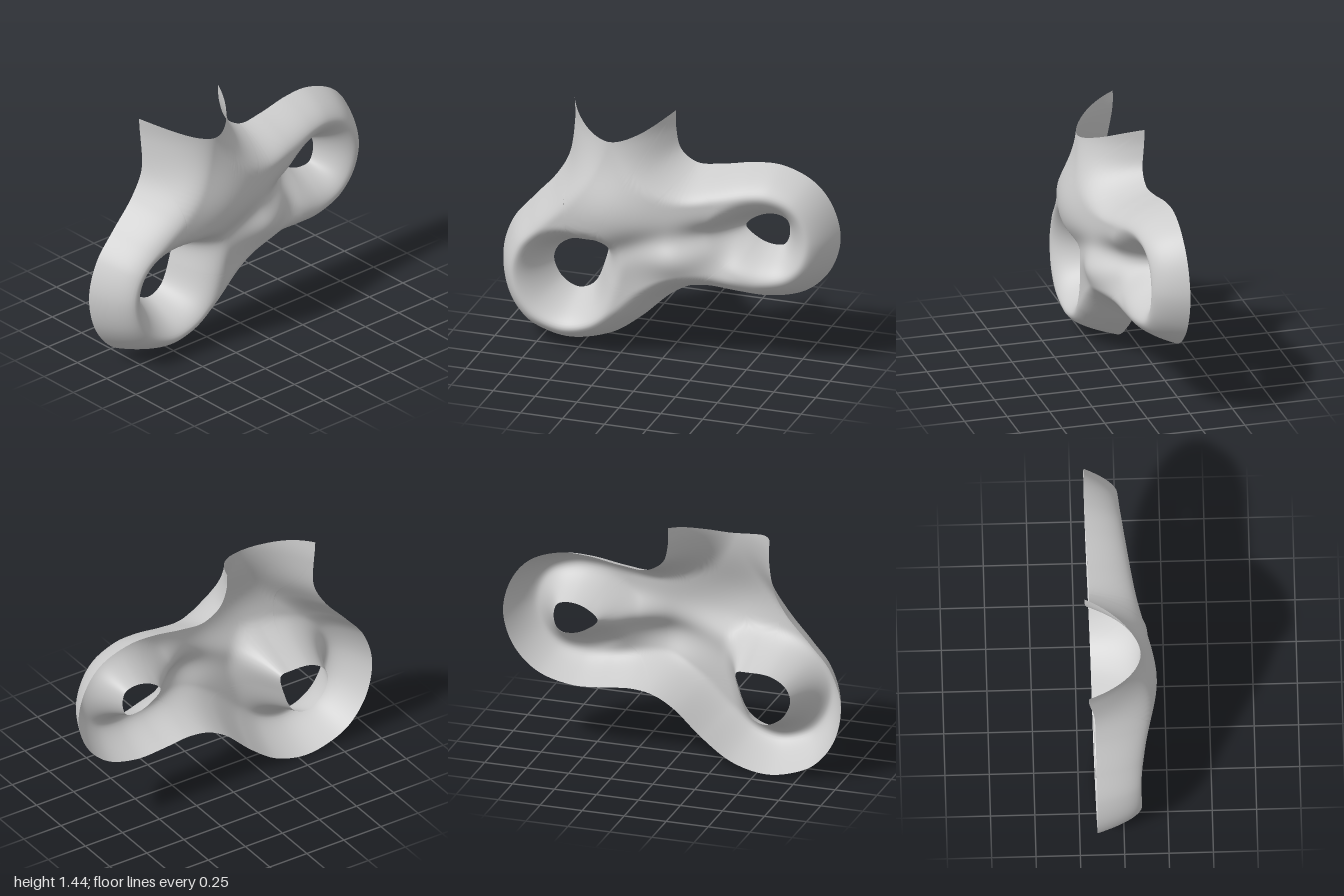
import * as THREE from 'three';
import { mergeGeometries, mergeVertices } from 'three/addons/utils/BufferGeometryUtils.js';

const curve = (pts, closed, n) => new THREE.CatmullRomCurve3(
  pts.map(([x, y]) => new THREE.Vector3(x, y, 0)), closed, 'centripetal').getSpacedPoints(n);

// Outer wall, from one spout corner round to the other
const wall = curve([[-0.59, 1.44], [-0.585, 1.3], [-0.605, 1.12], [-0.68, 0.98], [-0.82, 0.82], [-0.94, 0.67],
  [-1, 0.47], [-0.96, 0.25], [-0.84, 0.09], [-0.69, 0.02], [-0.54, 0], [-0.35, 0.05], [-0.18, 0.17], [0, 0.335],
  [0.12, 0.4], [0.25, 0.42], [0.42, 0.405], [0.6, 0.4], [0.8, 0.46], [0.94, 0.6], [1, 0.8], [0.95, 1],
  [0.84, 1.13], [0.66, 1.2], [0.5, 1.2], [0.3, 1.165], [0.15, 1.155], [0.05, 1.22], [0.015, 1.33], [0.01, 1.44]], false, 330);

// Open front edge of the spout
const spout = curve([[0.01, 1.44], [-0.13, 1.365], [-0.26, 1.33], [-0.38, 1.35], [-0.59, 1.44]], false, 60);

// Two through holes, and the valley that joins them
const holeA = curve([[-0.38, 0.595], [-0.4, 0.47], [-0.46, 0.34], [-0.55, 0.3], [-0.65, 0.35], [-0.7, 0.46],
  [-0.67, 0.54], [-0.58, 0.595], [-0.45, 0.605]], true, 120);
const holeB = curve([[0.44, 0.81], [0.5, 0.87], [0.6, 0.9], [0.68, 0.88], [0.7, 0.8], [0.67, 0.725],
  [0.6, 0.715], [0.52, 0.74]], true, 120);
const valley = curve([[-0.38, 0.6], [-0.1, 0.73], [0.2, 0.79], [0.44, 0.81]], false, 30);

// Distance from a point to a polyline
function distance(line, x, y) {
  let best = Infinity;
  for (let i = 0; i + 1 < line.length; i++) {
    const a = line[i], dx = line[i + 1].x - a.x, dy = line[i + 1].y - a.y;
    const t = THREE.MathUtils.clamp(((x - a.x) * dx + (y - a.y) * dy) / (dx * dx + dy * dy || 1), 0, 1);
    best = Math.min(best, Math.hypot(a.x + t * dx - x, a.y + t * dy - y));
  }
  return best;
}

const bump = (x, y, cx, cy, rx, ry) => Math.exp(-(((x - cx) / rx) ** 2) - ((y - cy) / ry) ** 2);
const rise = (d, r) => { const t = Math.min(d / r, 1); return t * (2 - t); };

// Depth of the shell: a rim at the back, rounded walls, a crest and a valley
function depth(x, y) {
  const { smoothstep } = THREE.MathUtils;
  const rim = -0.165 - 0.015 * x - 0.035 * smoothstep(y, 1.1, 1.4);
  let crest = 0.105 - 0.095 * smoothstep(x, -0.1, 0.92);
  crest += 0.095 * bump(x, y, -0.28, 0.9, 0.32, 0.25) + 0.055 * bump(x, y, 0.1, 0.66, 0.15, 0.13);
  // Valley: shallow beside the body, deeper towards the smaller hole
  const valleyDepth = 0.03 + 0.06 * smoothstep(x, 0.05, 0.4);
  crest -= valleyDepth * Math.exp(-((distance(valley, x, y) / 0.08) ** 2));
  crest -= 0.05 * bump(x, y, 0.37, 0.7, 0.11, 0.11);
  const outerRadius = 0.155 + 0.155 * bump(x, y, -0.29, 1.4, 0.4, 0.38);
  const holeRadius = 0.18;
  const holes = Math.min(distance(holeA, x, y), distance(holeB, x, y));
  return rim + (crest - rim) * rise(distance(wall, x, y), outerRadius) * rise(holes, holeRadius);
}

// Point where the ray from a hole's centre towards p meets the hole's edge
function edgePoint(hole, c, p) {
  const dx = p.x - c.x, dy = p.y - c.y;
  const side = (q) => dx * (q.y - c.y) - dy * (q.x - c.x);
  for (let i = 0; i + 1 < hole.length; i++) {
    const s0 = side(hole[i]), s1 = side(hole[i + 1]);
    if (s0 * s1 > 0 || s0 === s1) continue;
    const q = hole[i].clone().lerp(hole[i + 1], s0 / (s0 - s1));
    if ((q.x - c.x) * dx + (q.y - c.y) * dy > 0) return q;
  }
  return hole[0].clone();
}

// Surface from a hole's edge out to a closed outer loop
function ringSurface(hole, cx, cy, loop) {
  const rows = 36, pos = [], index = [], c = new THREE.Vector3(cx, cy, 0);
  loop.forEach((p, i) => {
    const q = edgePoint(hole, c, p), next = (i + 1) % loop.length;
    for (let k = 0; k <= rows; k++) {
      const s = (1 - Math.cos(Math.PI * k / rows)) / 2;
      const v = q.clone().lerp(p, s);
      pos.push(v.x, v.y, depth(v.x, v.y));
      if (k === rows) continue;
      const a = i * (rows + 1) + k, b = next * (rows + 1) + k;
      index.push(a, a + 1, b + 1, a, b + 1, b);
    }
  });
  const g = new THREE.BufferGeometry();
  g.setAttribute('position', new THREE.Float32BufferAttribute(pos, 3));
  g.setIndex(index);
  return g;
}

// Index of the wall point closest to a position
function nearest(x, y) {
  let best = 0;
  wall.forEach((p, i) => {
    if (Math.hypot(p.x - x, p.y - y) < Math.hypot(wall[best].x - x, wall[best].y - y)) best = i;
  });
  return best;
}

export function createModel() {
  const group = new THREE.Group();
  group.name = 'twoHoledShell';

  // Split the outline into one loop per hole, along a shared seam
  const low = nearest(0.12, 0.4), high = nearest(0.15, 1.155);
  const seam = [];
  for (let i = 1; i < 60; i++) seam.push(wall[low].clone().lerp(wall[high], i / 60));
  const loopA = [...wall.slice(0, low + 1), ...seam, ...wall.slice(high), ...spout.slice(1, -1)];
  const loopB = [...wall.slice(low, high + 1), ...[...seam].reverse()];

  const shell = mergeVertices(mergeGeometries([
    ringSurface(holeA, -0.5, 0.46, loopA),
    ringSurface(holeB, 0.57, 0.8, loopB),
  ]), 1e-6);
  shell.computeVertexNormals();
  const mesh = new THREE.Mesh(shell, new THREE.MeshStandardMaterial({ color: 0xcccccc, side: THREE.DoubleSide }));
  mesh.name = 'shell';
  group.add(mesh);
  return group;
}
